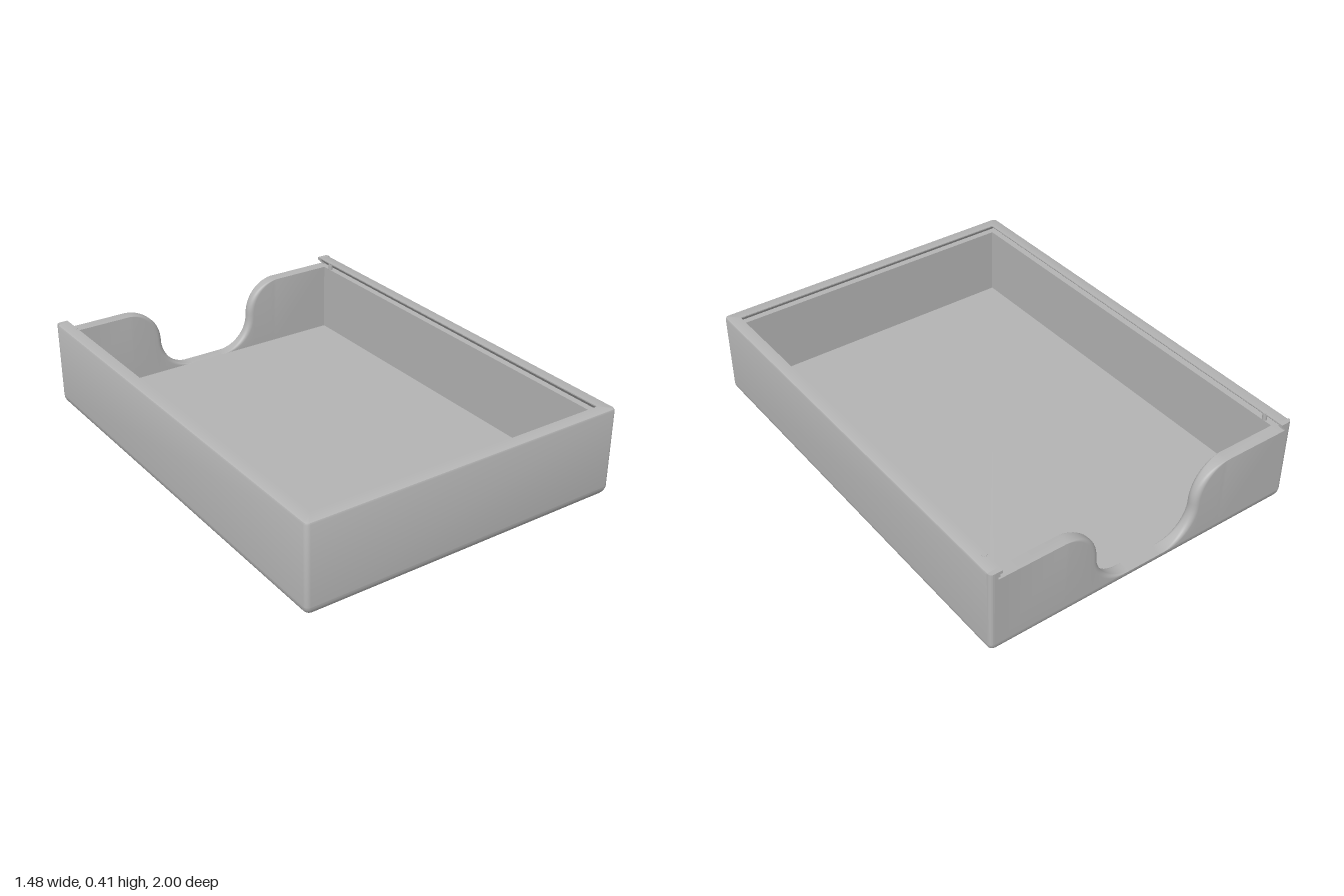
import * as THREE from 'three';
import { toCreasedNormals } from 'three/addons/utils/BufferGeometryUtils.js';

const HX = 0.74, HZ = 1, WALL = 0.055;        // outer half sizes, wall thickness
const BASE = 0.004, FLOOR = 0.05, LEDGE = 0.37, TOP = 0.405;
const R = 0.02;                               // vertical corner radius

const grey = new THREE.MeshStandardMaterial({ color: 0xb4b4b4 });
grey.name = 'grey plastic';

// Skin a surface over rows of points; scaled up while creasing so small fillets stay exact
function loft(rows) {
  const pos = [];
  for (let i = 0; i < rows.length - 1; i++) {
    for (let j = 0; j < rows[i].length - 1; j++) {
      const a = rows[i][j], b = rows[i + 1][j], c = rows[i + 1][j + 1], d = rows[i][j + 1];
      pos.push(...a, ...b, ...c, ...a, ...c, ...d);
    }
  }
  let g = new THREE.BufferGeometry();
  g.setAttribute('position', new THREE.Float32BufferAttribute(pos, 3));
  g.scale(100, 100, 100);
  g = toCreasedNormals(g, 0.6);
  return g.scale(0.01, 0.01, 0.01);
}

// Rounded base slab with the floor on top
function baseGeometry() {
  const ring = (inset, y) => {
    const pts = [];
    [[1, 1], [-1, 1], [-1, -1], [1, -1]].forEach(([sx, sz], q) => {
      for (let k = 0; k <= 5; k++) {
        const a = (q + k / 5) * Math.PI / 2;
        pts.push([sx * (HX - inset - R) + R * Math.cos(a), y, sz * (HZ - inset - R) + R * Math.sin(a)]);
      }
    });
    return [...pts, pts[0]];
  };
  const centre = (y) => ring(0, y).map(() => [0, y, 0]);
  const rows = [centre(BASE)];
  for (let k = 0; k <= 8; k++) {
    const a = k / 8 * Math.PI / 2, f = FLOOR - BASE;
    rows.push(ring(f * (1 - Math.sin(a)), FLOOR - f * Math.cos(a)));
  }
  rows.push(centre(FLOOR));
  return loft(rows);
}

// Side and front walls: one section with a dovetail groove, swept round a U
function wallGeometry() {
  const section = [[0, FLOOR], [0, TOP - 0.01], [0.003, TOP - 0.003], [0.01, TOP], [WALL, TOP],
    [WALL, TOP - 0.005], [0.025, LEDGE], [WALL, LEDGE], [WALL, FLOOR]];
  const rows = [section.map(([d, y]) => [-HX + d, y, -HZ + R])];
  for (const s of [-1, 1]) {
    for (let k = 0; k <= 5; k++) {
      const a = (s < 0 ? Math.PI : Math.PI / 2) - k / 5 * Math.PI / 2;
      rows.push(section.map(([d, y]) => {
        const out = Math.max(R - d, 0), inn = Math.max(d - R, 0);
        return [s * (HX - R - inn) + out * Math.cos(a), y, HZ - R - inn + out * Math.sin(a)];
      }));
    }
  }
  rows.push(section.map(([d, y]) => [HX - d, y, -HZ + R]));
  return loft(rows);
}

// Rounded end of a side wall at the back
function cornerGeometry(side, width, y0, y1) {
  const shape = new THREE.Shape();
  shape.moveTo(side * (HX - width), -HZ + R);
  shape.lineTo(side * HX, -HZ + R);
  shape.quadraticCurveTo(side * HX, -HZ, side * (HX - R), -HZ);
  shape.lineTo(side * (HX - width), -HZ);
  const g = new THREE.ExtrudeGeometry(shape, { depth: y1 - y0, bevelEnabled: false, curveSegments: 5 });
  return g.rotateX(Math.PI / 2).translate(0, y1, 0);
}

// Back wall with a thumb cut-out whose edge swells into a round along the curves
function backGeometry() {
  const A = (LEDGE - FLOOR) / 2, N = 14, mid = FLOOR + A;
  const half = [{ x: HX - WALL, y: LEDGE, nx: 0, ny: -1, r: 0 }];
  for (let k = 0; k <= 2 * N; k++) {
    const r = 0.026 * Math.sin(Math.PI * k / (2 * N));
    const upper = k <= N;
    const a = upper ? Math.PI / 2 * (1 + k / N) : -Math.PI / 2 * (k / N - 1);
    const c = Math.cos(a), s = Math.sin(a), n = upper ? -1 : 1;
    half.push({ x: (upper ? 0.4 : 0.4 - 2 * A) + A * c, y: mid + A * s, nx: n * c, ny: n * s, r });
  }
  const path = [...half, ...half.slice().reverse().map((p) => ({ ...p, x: -p.x, nx: -p.nx }))];
  const rows = path.map(({ x, y, nx, ny, r }) => {
    const outer = [], inner = [];
    for (let k = 0; k <= 6; k++) {
      const a = k / 6 * Math.PI / 2, o = r * (1 - Math.sin(a)), z = r * (1 - Math.cos(a));
      const px = x + nx * o, py = Math.max(FLOOR, y + ny * o);
      outer.push([px, py, -HZ + z]);
      inner.unshift([px, py, -HZ + WALL - z]);
    }
    const foot = x + nx * r;
    return [[foot, FLOOR, -HZ], ...outer, ...inner, [foot, FLOOR, -HZ + WALL]];
  });
  return loft(rows);
}

export function createModel() {
  const model = new THREE.Group();
  model.name = 'slidingLidTray';
  const add = (name, geometry, parent = model) => {
    const mesh = new THREE.Mesh(geometry, grey);
    mesh.name = name;
    parent.add(mesh);
    return mesh;
  };

  add('base', baseGeometry());
  add('sideAndFrontWalls', wallGeometry());
  add('backWall', backGeometry());

  for (const side of [-1, 1]) {
    const label = side > 0 ? 'left' : 'right';
    add(label + 'BackCorner', cornerGeometry(side, WALL, FLOOR, LEDGE));
    // Stepped end of the overhanging lip
    [[0.035, LEDGE, 0.38], [0.045, 0.38, 0.392], [WALL, 0.392, TOP]].forEach(([w, y0, y1]) =>
      add(label + 'LipEnd', cornerGeometry(side, w, y0, y1)));
    // Lid catch
    const pin = add(label + 'LidCatch', new THREE.CylinderGeometry(0.01, 0.01, TOP - LEDGE + 0.001, 12));
    pin.position.set(side * 0.692, (TOP + LEDGE) / 2, -0.9);

    // Textured grip pads under each corner
    for (const end of [-1, 1]) {
      const pad = new THREE.Group();
      pad.name = label + (end > 0 ? 'Front' : 'Back') + 'GripPad';
      pad.position.set(side * 0.6, BASE / 2, end * 0.86);
      for (let i = -1; i <= 1; i++) {
        for (let j = -1; j <= 1; j++) {
          const stud = new THREE.ConeGeometry(0.024 * Math.SQRT2, BASE, 4, 1).toNonIndexed();
          stud.rotateY(Math.PI / 4).rotateX(Math.PI).computeVertexNormals();
          add('gripStud', stud, pad).position.set(i * 0.048, 0, j * 0.048);
        }
      }
      model.add(pad);
    }
  }
  return model;
}
